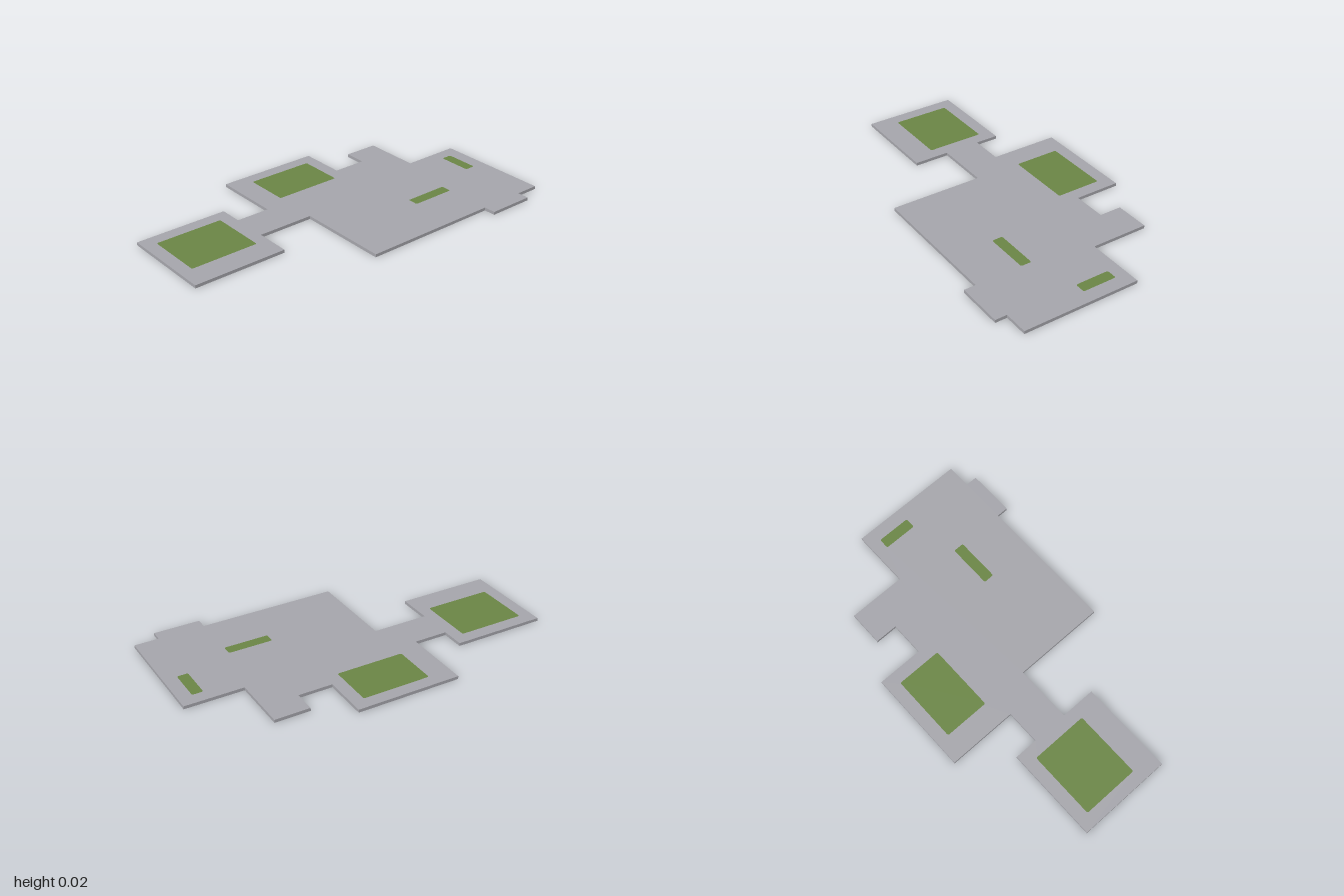
import * as THREE from 'three';

const HEIGHT = 0.017;

// Floor outline as (x, z) corners, clockwise from the back left
const OUTLINE = [
  [-1, -0.33], [-0.48, -0.33], [-0.48, -0.2], [-0.29, -0.2], [-0.29, -0.585], [0.29, -0.585],
  [0.29, -0.33], [0.48, -0.33], [0.48, -0.455], [0.675, -0.455], [0.675, -0.135], [1, -0.135],
  [1, 0.515], [0.865, 0.515], [0.865, 0.58], [0.605, 0.58], [0.605, 0.515], [-0.165, 0.515],
  [-0.165, 0], [-0.48, 0], [-0.48, 0.195], [-1, 0.195],
];

// Green inlays: x min, x max, z min, z max
const INLAYS = {
  sideRoomRug: [-0.93, -0.55, -0.26, 0.06],
  backRoomRug: [-0.16, 0.22, -0.515, -0.26],
  longMat: [0.355, 0.605, 0.195, 0.255],
  endMat: [0.865, 0.925, -0.065, 0.125],
};

// Rectangle with softly rounded corners, drawn with shape y = -z
function roundedRect(path, [x0, x1, z0, z1], r = 0.01) {
  const y0 = -z1, y1 = -z0;
  path.moveTo(x0 + r, y0);
  path.lineTo(x1 - r, y0);
  path.quadraticCurveTo(x1, y0, x1, y0 + r);
  path.lineTo(x1, y1 - r);
  path.quadraticCurveTo(x1, y1, x1 - r, y1);
  path.lineTo(x0 + r, y1);
  path.quadraticCurveTo(x0, y1, x0, y1 - r);
  path.lineTo(x0, y0 + r);
  path.quadraticCurveTo(x0, y0, x0 + r, y0);
  return path;
}

export function createModel() {
  const group = new THREE.Group();
  group.name = 'floorPlan';
  const grey = new THREE.MeshStandardMaterial({ color: 0xa5a5ab, side: THREE.DoubleSide });
  grey.name = 'floorGrey';
  const green = new THREE.MeshStandardMaterial({ color: 0x6a8545, side: THREE.DoubleSide });
  green.name = 'rugGreen';

  // Lays a flat shape at the top of the floor
  const addSheet = (name, shape, material) => {
    const geometry = new THREE.ShapeGeometry(shape, 4).rotateX(-Math.PI / 2).translate(0, HEIGHT, 0);
    const mesh = new THREE.Mesh(geometry, material);
    mesh.name = name;
    group.add(mesh);
  };

  // Floor sheet with openings filled by the inlays
  const floor = new THREE.Shape(OUTLINE.map(([x, z]) => new THREE.Vector2(x, -z)));
  for (const [name, rect] of Object.entries(INLAYS)) {
    floor.holes.push(roundedRect(new THREE.Path(), rect));
    addSheet(name, roundedRect(new THREE.Shape(), rect), green);
  }
  addSheet('floor', floor, grey);

  // Thin skirt around the floor edge, facing outward
  const skirt = new THREE.Group();
  skirt.name = 'edgeSkirt';
  OUTLINE.forEach(([x0, z0], i) => {
    const [x1, z1] = OUTLINE[(i + 1) % OUTLINE.length];
    const dx = x1 - x0, dz = z1 - z0;
    const side = new THREE.Mesh(new THREE.PlaneGeometry(Math.hypot(dx, dz), HEIGHT), grey);
    side.position.set((x0 + x1) / 2, HEIGHT / 2, (z0 + z1) / 2);
    side.rotation.y = Math.atan2(dz, -dx);
    side.name = 'edgeSide';
    skirt.add(side);
  });
  group.add(skirt);
  return group;
}
